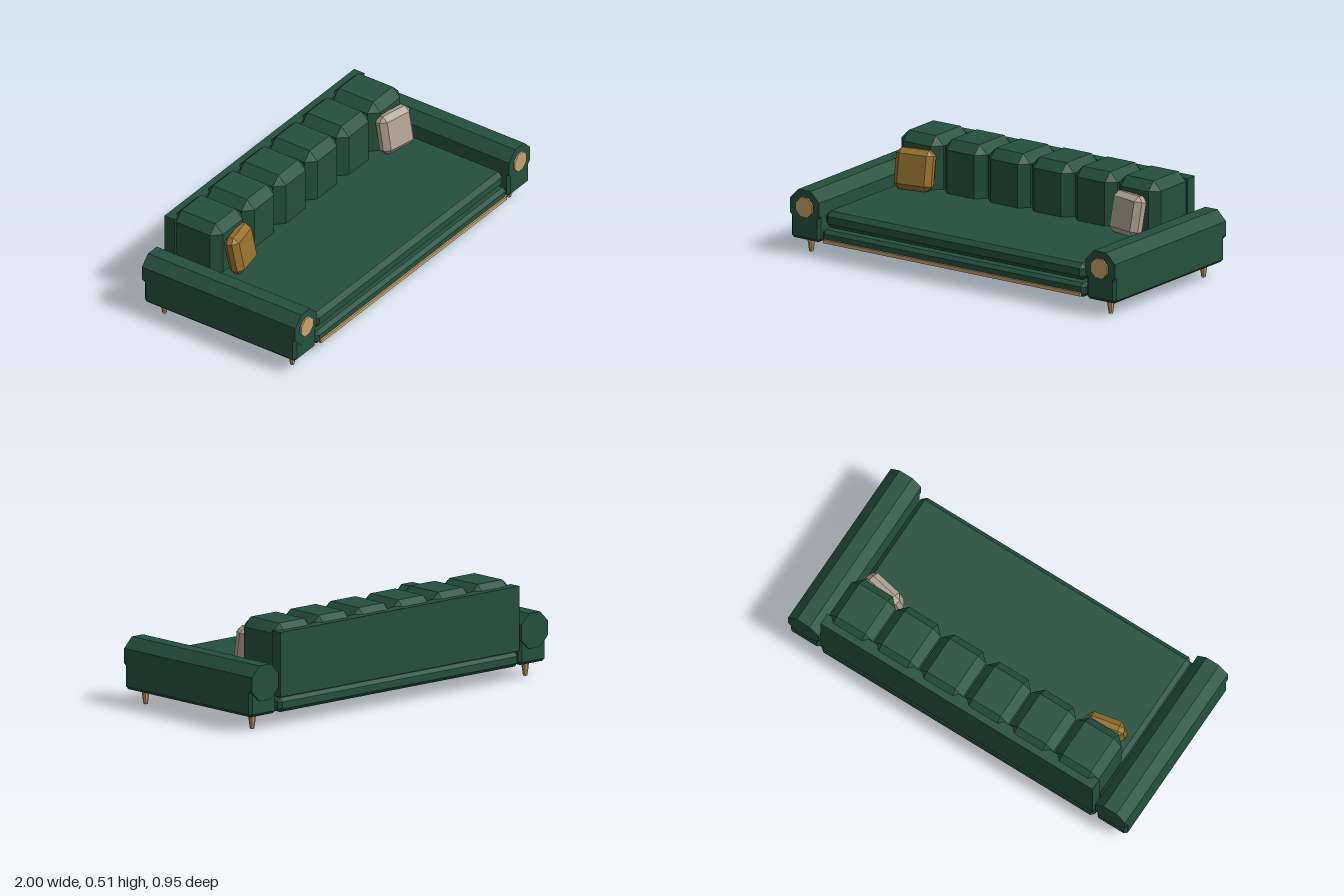
import * as THREE from 'three';
import { ConvexGeometry } from 'three/addons/geometries/ConvexGeometry.js';

const material = (name, color) => {
  const m = new THREE.MeshStandardMaterial({ color });
  m.name = name;
  return m;
};

// Box with every edge cut at 45 degrees, centred on the origin
function chamferBox(w, h, d, c) {
  const points = [];
  for (const sx of [-1, 1]) for (const sy of [-1, 1]) for (const sz of [-1, 1]) {
    const x = w / 2, y = h / 2, z = d / 2;
    points.push(
      new THREE.Vector3(sx * x, sy * (y - c), sz * (z - c)),
      new THREE.Vector3(sx * (x - c), sy * y, sz * (z - c)),
      new THREE.Vector3(sx * (x - c), sy * (y - c), sz * z));
  }
  return new ConvexGeometry(points);
}

// Flat-faced prism along z with flats at top, bottom and sides
function octagonPrism(apothem, depth) {
  const g = new THREE.CylinderGeometry(1, 1, depth, 8);
  g.scale(apothem / Math.cos(Math.PI / 8), 1, apothem / Math.cos(Math.PI / 8));
  g.rotateY(Math.PI / 8);
  g.rotateX(Math.PI / 2);
  const flat = g.toNonIndexed();
  flat.computeVertexNormals();
  return flat;
}

export function createModel() {
  const sofa = new THREE.Group();
  sofa.name = 'sofa';

  const green = material('green velvet', 0x24503e);
  const brass = material('brass', 0xc9a36a);
  const mustard = material('mustard fabric', 0x94702c);
  const taupe = material('taupe fabric', 0xafa393);

  const add = (name, geometry, mat, x, y, z) => {
    const mesh = new THREE.Mesh(geometry, mat);
    mesh.name = name;
    mesh.position.set(x, y, z);
    sofa.add(mesh);
    return mesh;
  };

  // Base, seat and back panel
  add('base', chamferBox(1.62, 0.072, 0.94, 0.018), green, 0, 0.111, -0.005);
  add('seatCushion', chamferBox(1.6, 0.087, 0.87, 0.024), green, 0, 0.2, 0.02);
  add('backPanel', new THREE.BoxGeometry(1.614, 0.33, 0.062), green, 0, 0.32, -0.444);
  add('frontTrim', new THREE.BoxGeometry(1.58, 0.018, 0.014), brass, 0, 0.092, 0.467);

  // Row of back cushions
  const cushion = chamferBox(0.26, 0.325, 0.3, 0.046);
  for (let i = 0; i < 6; i++) {
    add('backCushion', cushion, green, (i - 2.5) * 0.268, 0.3525, -0.305);
  }

  // Rolled arms with brass end caps, and tapered legs
  const armBody = chamferBox(0.18, 0.175, 0.93, 0.015);
  const armRoll = octagonPrism(0.09, 0.941);
  const armCap = octagonPrism(0.05, 0.012);
  const leg = new THREE.CylinderGeometry(0.022, 0.011, 0.08, 8).toNonIndexed();
  leg.computeVertexNormals();
  for (const side of [-1, 1]) {
    add('armBody', armBody, green, side * 0.91, 0.1625, 0);
    add('armRoll', armRoll, green, side * 0.91, 0.245, -0.0045);
    add('armCap', armCap, brass, side * 0.908, 0.247, 0.469);
    for (const end of [-1, 1]) {
      add('leg', leg, brass, side * 0.922, 0.04, end * 0.392);
    }
  }

  // Loose pillows leaning on the back, turned slightly inward
  const pillow = chamferBox(0.205, 0.21, 0.085, 0.028);
  for (const [side, mat] of [[-1, mustard], [1, taupe]]) {
    const p = add('pillow', pillow, mat, side * 0.656, 0.347, -0.118);
    p.rotation.order = 'YXZ';
    p.rotation.set(-0.2, -side * 0.2, 0);
  }

  return sofa;
}
